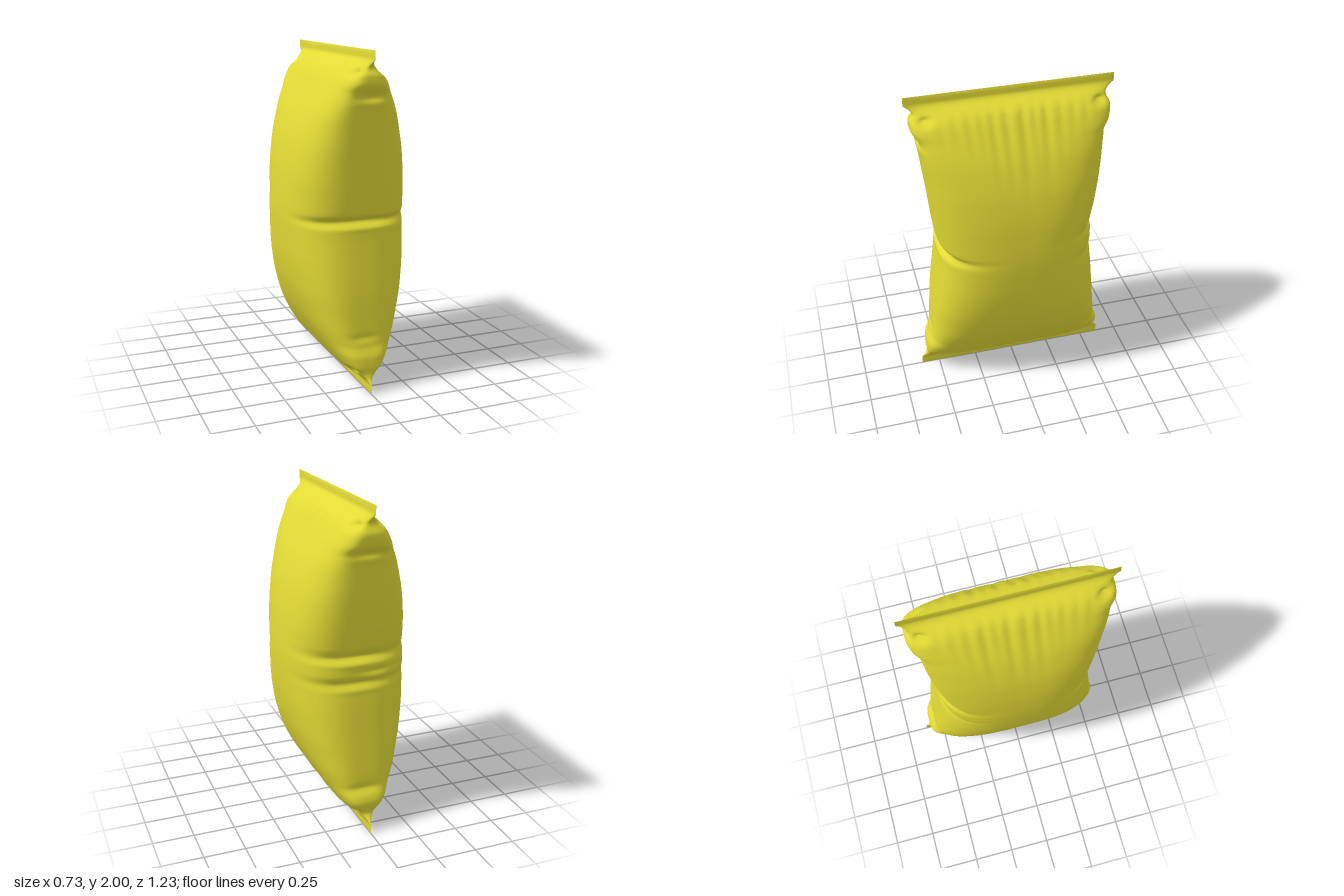
import * as THREE from 'three';

// Smooth profile through [y, value] points, flat at local extremes so it never overshoots
function profile(points) {
  const n = points.length;
  const slope = (i) => (points[i + 1][1] - points[i][1]) / (points[i + 1][0] - points[i][0]);
  const tangent = points.map((p, i) => {
    if (i === 0 || i === n - 1) return 0;
    const a = slope(i - 1), b = slope(i);
    return a * b <= 0 ? 0 : (2 * a * b) / (a + b);
  });
  return (y) => {
    let i = 0;
    while (i < n - 2 && y > points[i + 1][0]) i++;
    const h = points[i + 1][0] - points[i][0];
    const t = (y - points[i][0]) / h, t2 = t * t, t3 = t2 * t;
    return (2 * t3 - 3 * t2 + 1) * points[i][1] + (t3 - 2 * t2 + t) * h * tangent[i]
      + (3 * t2 - 2 * t3) * points[i + 1][1] + (t3 - t2) * h * tangent[i + 1];
  };
}

const bump = (d, width) => Math.exp(-((d / width) ** 2));

// Half thickness by distance from the nearer end
const thickness = profile([[0, 0], [0.01, 0.004], [0.05, 0.007], [0.07, 0.028], [0.09, 0.065],
  [0.12, 0.108], [0.2, 0.165], [0.4, 0.265], [0.6, 0.325], [0.8, 0.355], [1, 0.365]]);

// Squareness of the cross-section by distance from the nearer end
const squareness = profile([[0, 2.4], [0.07, 2.5], [0.15, 3.8], [0.25, 4], [0.5, 3.3], [1, 2.8]]);

// Half widths of the two narrow sides, with the pinches below the seals and at the waist
const frontEdge = profile([[0, 0.615], [0.055, 0.615], [0.08, 0.59], [0.12, 0.578], [0.15, 0.583],
  [0.21, 0.578], [0.29, 0.547], [0.6, 0.52], [0.9, 0.483], [0.97, 0.475], [1.01, 0.445],
  [1.05, 0.474], [1.1, 0.482], [1.4, 0.515], [1.7, 0.553], [1.76, 0.562], [1.82, 0.59],
  [1.86, 0.587], [1.9, 0.568], [1.93, 0.59], [1.95, 0.615], [2, 0.615]]);
const backEdge = profile([[0, 0.615], [0.055, 0.615], [0.08, 0.59], [0.115, 0.565], [0.15, 0.575],
  [0.19, 0.585], [0.28, 0.55], [0.38, 0.54], [0.6, 0.515], [0.88, 0.483], [0.93, 0.468],
  [0.98, 0.482], [1.04, 0.48], [1.09, 0.458], [1.15, 0.478], [1.5, 0.525], [1.7, 0.54],
  [1.77, 0.575], [1.83, 0.585], [1.89, 0.563], [1.93, 0.59], [1.95, 0.615], [2, 0.615]]);

// Gathers running away from the seals: [z, depth, length]
const gathers = [[-0.43, 0.006, 0.12], [-0.35, 0.008, 0.15], [-0.27, 0.01, 0.2], [-0.18, 0.014, 0.28],
  [-0.11, 0.009, 0.24], [-0.04, 0.014, 0.32], [0.06, 0.012, 0.3], [0.14, 0.013, 0.28],
  [0.21, 0.008, 0.2], [0.28, 0.009, 0.18], [0.36, 0.007, 0.14], [0.44, 0.006, 0.12]];

function gatherDepth(z, end) {
  const start = THREE.MathUtils.smoothstep(end, 0.07, 0.14);
  let depth = 0;
  for (const [gz, amount, length] of gathers) {
    depth += amount * bump(z - gz * (1 - end * 0.25), 0.02 + end * 0.03) * bump(end - 0.1, length);
  }
  return depth * start;
}

// Short sideways folds on the narrow sides: [side, y, x, depth, height, half length]
const folds = [[1, 1.74, 0.02, 0.014, 0.022, 0.09], [1, 0.33, -0.02, 0.007, 0.02, 0.08],
  [1, 1.02, 0, 0.012, 0.018, 0.24], [-1, 1.09, 0.05, 0.014, 0.02, 0.18],
  [-1, 1.0, -0.1, 0.012, 0.018, 0.12], [-1, 0.93, 0.04, 0.012, 0.02, 0.16],
  [-1, 1.72, 0, 0.012, 0.022, 0.1], [-1, 0.28, 0.02, 0.01, 0.022, 0.1]];

function skinPoint(y, angle) {
  const end = Math.min(y, 2 - y);
  const n = squareness(end), thick = thickness(end);
  const c = Math.cos(angle), s = Math.sin(angle);
  const r = (Math.abs(c) ** n + Math.abs(s) ** n) ** (-1 / n);
  let x = thick * c * r;
  let z = (s > 0 ? frontEdge(y) : backEdge(y)) * s * r;

  // Gathers and corner tucks press the broad faces inwards
  const tuck = 0.035 * bump(end - 0.125, 0.018) * bump(Math.abs(z) - 0.51, 0.04);
  const press = (gatherDepth(z, end) + tuck) * Math.min(1, Math.abs(c * r) * 1.3);
  x = Math.sign(x) * Math.max(Math.abs(x) - press, Math.min(Math.abs(x), 0.004));

  // Folds press the narrow sides inwards
  for (const [side, fy, fx, depth, height, half] of folds) {
    if (side * s > 0) {
      const weight = Math.abs(s * r) ** 6;
      z -= side * depth * weight * (bump(y - fy, height) - 0.4 * bump(y - fy + 0.04, height)) * bump(x - fx, half);
    }
  }
  return [x, y, z];
}

// Closed skin lofted from the lower seal to the upper seal
function bagGeometry(rows = 190, columns = 256) {
  const positions = [], indices = [];
  for (let i = 0; i <= rows; i++) {
    for (let j = 0; j < columns; j++) {
      positions.push(...skinPoint((2 * i) / rows, (j / columns) * Math.PI * 2));
    }
  }
  for (let i = 0; i < rows; i++) {
    for (let j = 0; j < columns; j++) {
      const a = i * columns + j, b = i * columns + ((j + 1) % columns);
      indices.push(a, a + columns, b, b, a + columns, b + columns);
    }
  }
  const geometry = new THREE.BufferGeometry();
  geometry.setAttribute('position', new THREE.Float32BufferAttribute(positions, 3));
  geometry.setIndex(indices);
  geometry.computeVertexNormals();
  return geometry;
}

export function createModel() {
  const group = new THREE.Group();
  group.name = 'pillowBag';
  const foil = new THREE.MeshStandardMaterial({ color: 0xe2da35 });
  const bag = new THREE.Mesh(bagGeometry(), foil);
  bag.name = 'sealedBag';
  group.add(bag);
  return group;
}
